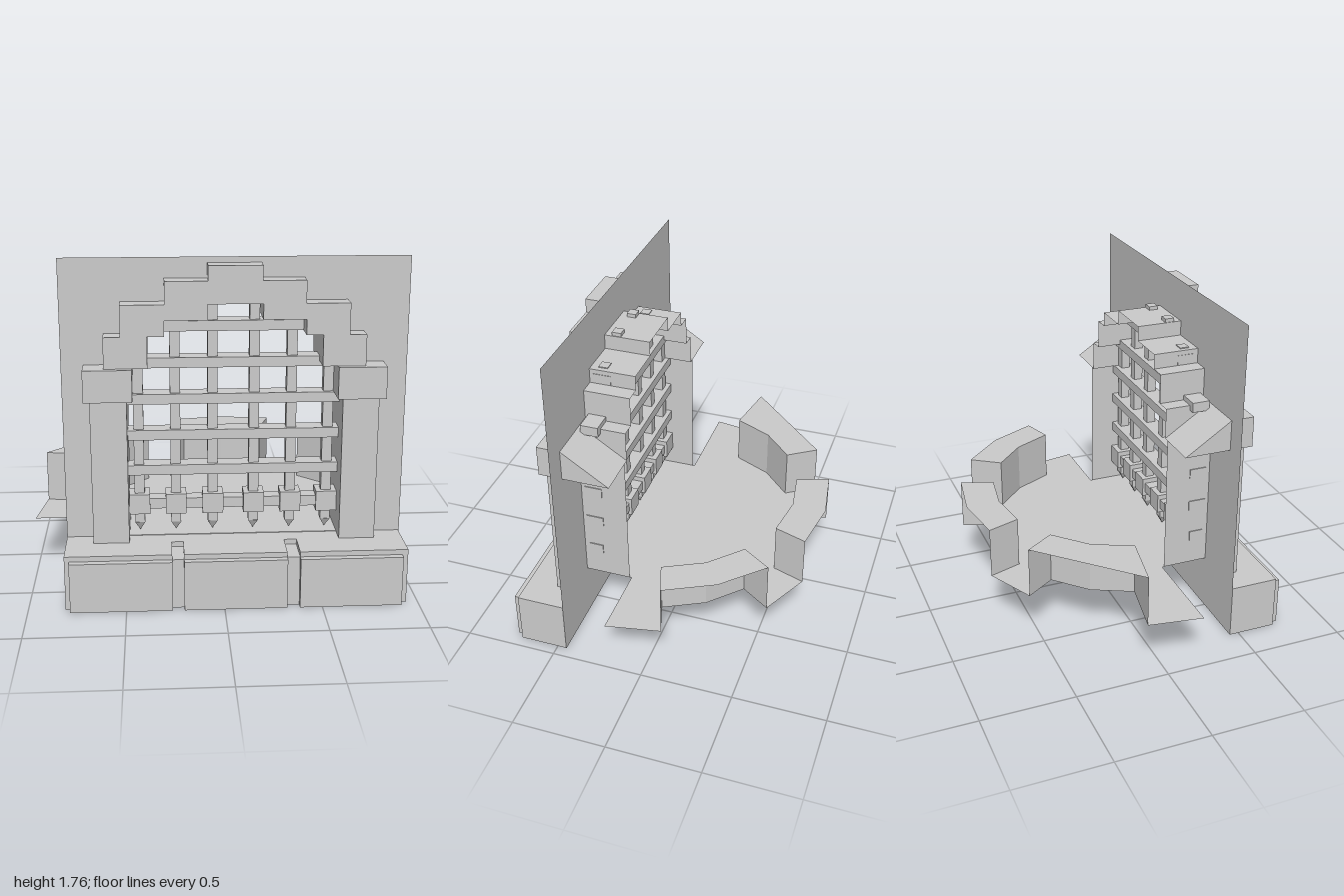
import * as THREE from 'three';

const CX = 0.0625;      // centre line of the gate
const FLOOR = 0.295;    // terrace height
const BACK = 0.45;      // plane of the wall

const solid = new THREE.MeshStandardMaterial({ color: 0xcccccc, flatShading: true });
const sheet = new THREE.MeshStandardMaterial({ color: 0xcccccc, flatShading: true, side: THREE.DoubleSide });

export function createModel() {
  const model = new THREE.Group();

  const group = (name) => {
    const g = new THREE.Group();
    g.name = name;
    model.add(g);
    return g;
  };
  const add = (parent, name, geometry, material = solid) => {
    const mesh = new THREE.Mesh(geometry, material);
    mesh.name = name;
    parent.add(mesh);
    return mesh;
  };
  // Box given by its limits
  const box = (parent, name, x0, x1, y0, y1, z0, z1) => {
    const mesh = add(parent, name, new THREE.BoxGeometry(Math.abs(x1 - x0), y1 - y0, z1 - z0));
    mesh.position.set((x0 + x1) / 2, (y0 + y1) / 2, (z0 + z1) / 2);
    return mesh;
  };
  const shapeOf = (pts) => new THREE.Shape(pts.map(([x, y]) => new THREE.Vector2(x, y)));
  // Flat horizontal sheet from [x, z] corners
  const slab = (parent, name, pts, y) => {
    const geometry = new THREE.ShapeGeometry(shapeOf(pts.map(([x, z]) => [x, -z])));
    geometry.rotateX(-Math.PI / 2);
    add(parent, name, geometry, sheet).position.y = y;
  };
  // Thin strip spanned between two polylines
  const ribbon = (parent, name, a, b) => {
    const pos = [];
    for (let i = 0; i < a.length - 1; i++) {
      pos.push(...a[i], ...a[i + 1], ...b[i + 1], ...a[i], ...b[i + 1], ...b[i]);
    }
    const geometry = new THREE.BufferGeometry();
    geometry.setAttribute('position', new THREE.Float32BufferAttribute(pos, 3));
    geometry.computeVertexNormals();
    add(parent, name, geometry, sheet);
  };
  // Right half profile [offset, y], mirrored about the gate's centre line
  const mirrored = (half) => [
    ...half.map(([x, y]) => [CX + x, y]),
    ...half.slice().reverse().map(([x, y]) => [CX - x, y]),
  ];

  // Stepped opening
  const archInner = [[0.4375, 1.22], [0.4375, 1.38], [0.3525, 1.38], [0.3525, 1.46], [0.1375, 1.46], [0.1375, 1.54]];
  const opening = mirrored([[0.545, FLOOR], [0.545, 1.055], [0.515, 1.055], [0.515, 1.22], ...archInner]);

  // Wall sheet with the opening cut out
  const wallShape = shapeOf([[-0.81, 0], [0.945, 0], [0.945, 1.76], [-0.81, 1.76]]);
  wallShape.holes.push(shapeOf(opening));
  add(model, 'wall', new THREE.ShapeGeometry(wallShape), sheet).position.z = BACK - 0.001;

  // Lining of the opening behind the wall
  ribbon(model, 'openingLining', opening.map(([x, y]) => [x, y, 0.2]), opening.map(([x, y]) => [x, y, BACK]));

  // Stepped arch on the front
  const archOuter = [[0.655, 1.22], [0.655, 1.38], [0.57, 1.38], [0.57, 1.54], [0.35, 1.54],
    [0.35, 1.655], [0.135, 1.655], [0.135, 1.73]];
  const archShape = shapeOf([...mirrored(archOuter), ...mirrored(archInner).reverse()]);
  add(model, 'arch', new THREE.ExtrudeGeometry(archShape, { depth: 0.095, bevelEnabled: false })).position.z = BACK;

  // Pillars with capitals, each capital sloping down behind the wall
  const pillars = group('pillars');
  for (const s of [-1, 1]) {
    box(pillars, 'pillar', CX + s * 0.545, CX + s * 0.73, 0.29, 1.055, BACK, 0.545);
    box(pillars, 'capital', CX + s * 0.515, CX + s * 0.76, 1.055, 1.22, BACK, 0.575);
    const wedge = new THREE.ExtrudeGeometry(shapeOf([[-0.45, 1.055], [-0.2, 1.055], [-0.45, 1.22]]),
      { depth: 0.245, bevelEnabled: false });
    wedge.rotateY(Math.PI / 2);
    add(pillars, 'capitalWedge', wedge).position.x = CX + (s > 0 ? 0.515 : -0.76);
  }

  // Portcullis: upright bars with spikes, crossed by rails
  const gate = group('portcullis');
  const tops = [1.56, 1.465, 1.22];
  [0.107, 0.3, 0.49].forEach((offset, i) => {
    for (const s of [-1, 1]) {
      const x = CX + s * offset;
      box(gate, 'bar', x - 0.026, x + 0.026, 0.35, tops[i], 0.36, 0.41);
      box(gate, 'spikeBlock', x - 0.054, x + 0.054, 0.405, 0.513, 0.33, 0.435);
      const tip = new THREE.ConeGeometry(0.037, 0.05, 4);
      tip.rotateY(Math.PI / 4);
      tip.rotateX(Math.PI);
      add(gate, 'spikeTip', tip).position.set(x, 0.325, 0.385);
    }
  });
  box(gate, 'bottomRail', CX - 0.55, CX + 0.55, 0.43, 0.485, 0.345, 0.42);
  [0.62, 0.81, 1.002, 1.193, 1.382].forEach((y, i) => {
    const half = i === 4 ? 0.355 : 0.55;
    box(gate, 'rail', CX - half, CX + half, y, y + 0.053, 0.335, 0.43);
  });

  // Base: core, three top slabs and three raised front panels
  const base = group('base');
  box(base, 'core', -0.81, 0.94, 0, 0.265, BACK, 0.71);
  box(base, 'coreTop', -0.81, 0.94, 0.265, 0.292, BACK, 0.545);
  for (const [x0, x1] of [[-0.81, -0.265], [-0.205, 0.32], [0.385, 0.94]]) {
    box(base, 'topSlab', x0, x1, 0.265, 0.292, 0.545, 0.71);
  }
  for (const [x0, x1] of [[-0.785, -0.265], [-0.205, 0.32], [0.385, 0.91]]) {
    box(base, 'frontPanel', x0, x1, 0, 0.265, 0.71, 0.745);
  }

  // Parapets: inner face, two ends and a top, open on the outside
  const parapets = [
    { outer: [[-0.955, -0.1], [-0.49, -0.57]],
      inner: [[-0.65, -0.045], [-0.55, -0.255], [-0.385, -0.415]] },
    { outer: [[-0.23, -0.7], [0.06, -0.745], [0.35, -0.7]],
      inner: [[-0.17, -0.525], [0.06, -0.56], [0.29, -0.525]] },
    { outer: [[0.61, -0.57], [0.815, -0.36], [0.945, -0.1]],
      inner: [[0.505, -0.415], [0.67, -0.255], [0.775, -0.045]] },
  ];
  const terrace = group('terrace');
  const edge = [];
  for (const { outer, inner } of parapets) {
    const path = [outer[0], ...inner, outer[outer.length - 1]];
    edge.push(...path);
    ribbon(terrace, 'parapetWall', path.map(([x, z]) => [x, FLOOR, z]), path.map(([x, z]) => [x, 0.575, z]));
    slab(terrace, 'parapetTop', [...outer, ...inner.slice().reverse()], 0.575);
  }
  // Terrace floor, running through the gate to the wall
  slab(terrace, 'floor', [[-1, 0.19], ...edge, [1, 0.19], [CX + 0.545, 0.19], [CX + 0.545, BACK],
    [CX - 0.545, BACK], [CX - 0.545, 0.19]], FLOOR);

  return model;
}
